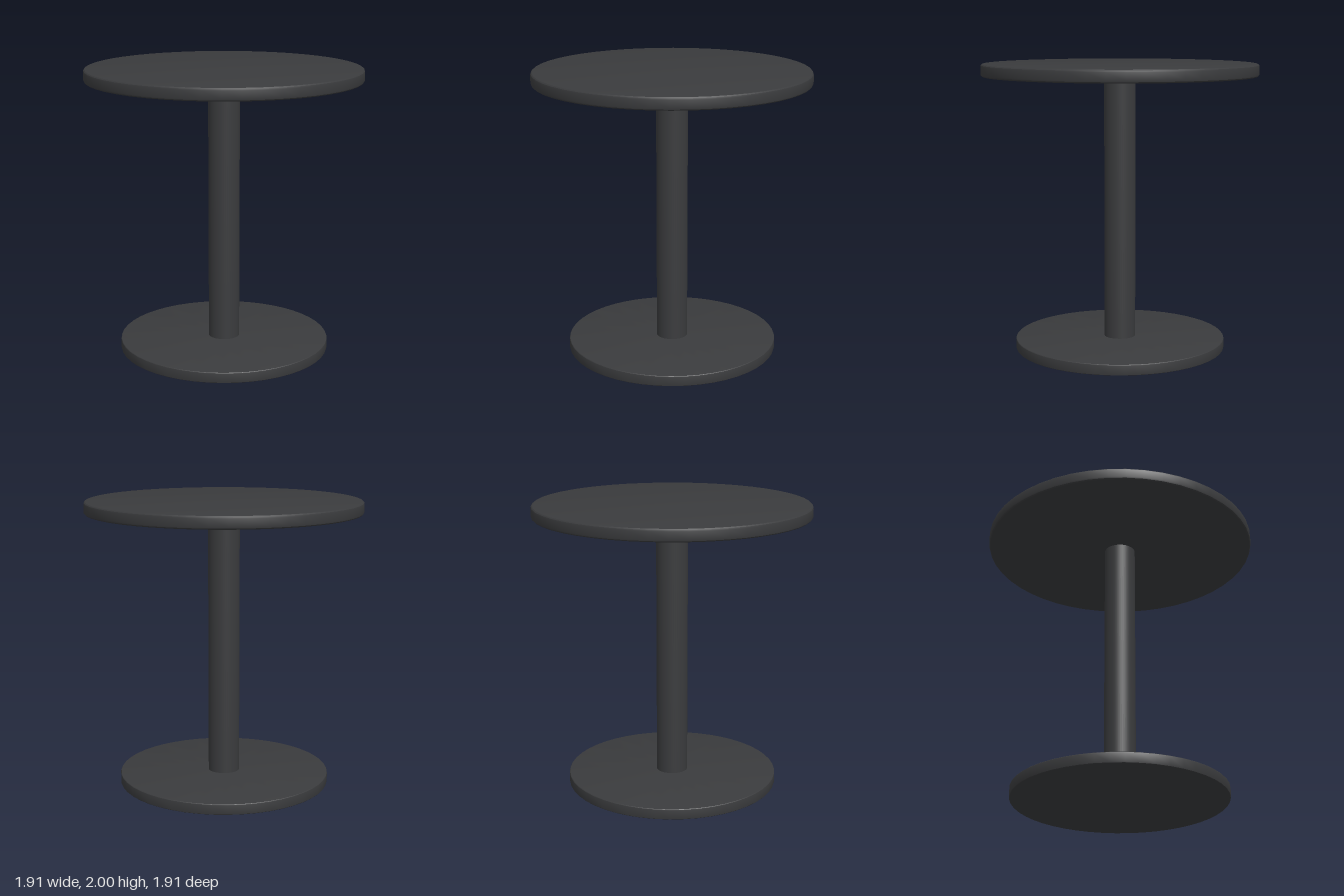
import * as THREE from 'three';
import { toCreasedNormals } from 'three/addons/utils/BufferGeometryUtils.js';

const SEGMENTS = 48;

// Solid round disc from y0 to y1, with its rims rounded by radius r
function disc(radius, y0, y1, r) {
  const points = [new THREE.Vector2(0, y0)];
  const steps = 3;
  const corner = (cy, start) => {
    for (let i = 0; i <= steps; i++) {
      const a = start + (i / steps) * Math.PI / 2;
      points.push(new THREE.Vector2(radius - r + r * Math.cos(a), cy + r * Math.sin(a)));
    }
  };
  corner(y0 + r, -Math.PI / 2);
  corner(y1 - r, 0);
  points.push(new THREE.Vector2(0, y1));
  return toCreasedNormals(new THREE.LatheGeometry(points, SEGMENTS), 0.4);
}

export function createModel() {
  const model = new THREE.Group();
  model.name = 'pedestalTable';
  const material = new THREE.MeshStandardMaterial({ color: 0x3a3b3d });

  const add = (name, geometry) => {
    const mesh = new THREE.Mesh(geometry, material);
    mesh.name = name;
    model.add(mesh);
    return mesh;
  };

  // Floor plate, column and round top
  add('base', disc(0.737, 0, 0.075, 0.008));
  add('column', new THREE.CylinderGeometry(0.109, 0.109, 1.85, SEGMENTS)).position.y = 0.995;
  add('tableTop', disc(0.955, 1.913, 2, 0.018));

  return model;
}
